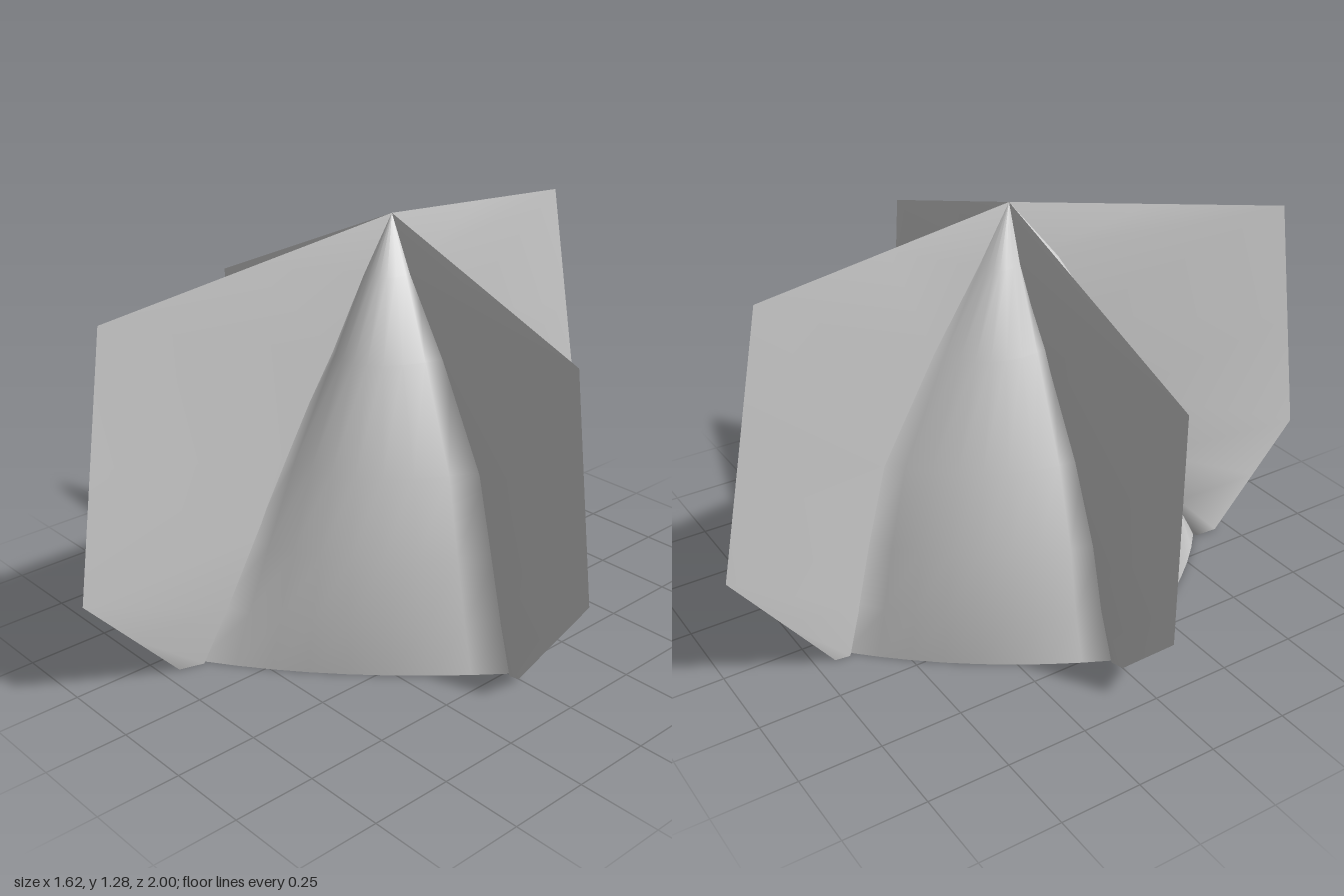
import * as THREE from 'three';

const V = (x, y, z) => new THREE.Vector3(x, y, z);
const APEX = V(-0.04, 1.28, -0.04);
// heights of the body rows, from apex to ground, and how far the panel middles reach outward
const HEIGHTS = [1.28, 1.12, 0.9, 0.6, 0.36, 0.16, 0];
const MIDDLE = [0, 0.27, 0.55, 0.8, 0.93, 1, 1];
// overlap of neighbouring panels along the root of each fin
const OVERLAP = [0, 0.014, 0.014, 0.014, 0.014, 0.013, 0.01];
const COLS = 10;

// each fin: direction, outline (shoulder, widest point, foot) and reach of its root per row
const FINS = [
  { dir: V(1, 0, 0), pts: [V(0.73, 1.03, 0.02), V(0.81, 0.36, 0.02), V(0.55, 0, 0)],
    root: [0, 0.17, 0.42, 0.7, 0.8, 0.88, 0.95] },
  { dir: V(0, 0, 1), pts: [V(-0.17, 1.12, 0.88), V(-0.17, 0.33, 1), V(-0.17, 0, 0.7)],
    root: [0, 0.12, 0.27, 0.5, 0.66, 0.79, 0.9] },
  { dir: V(-1, 0, 0), pts: [V(-0.81, 0.95, 0), V(-0.81, 0.23, 0), V(-0.59, 0, 0)],
    root: [0, 0.1, 0.33, 0.6, 0.76, 0.84, 0.93] },
  { dir: V(0, 0, -1), pts: [V(-0.12, 1.2, -0.85), V(-0.11, 0.4, -1), V(-0.1, 0, -0.69)],
    root: [0, 0.18, 0.42, 0.7, 0.8, 0.87, 0.93] },
];

// outer edge of a fin: corners and the points halfway between them
function finEdge(fin) {
  const corners = [APEX, ...fin.pts];
  const edge = [APEX];
  for (let i = 1; i < corners.length; i++) {
    edge.push(corners[i - 1].clone().lerp(corners[i], 0.5), corners[i]);
  }
  return edge;
}

// point where the body meets a fin, pushed slightly past the fin plane
function finRoot(fin, other, row) {
  const p = APEX.clone().lerp(fin.pts[2], fin.root[row]);
  p.y = HEIGHTS[row];
  return p.addScaledVector(other.dir, -OVERLAP[row]);
}

// one panel: fin side, bulging body, next fin side
function panelGeometry(a, b) {
  const edgeA = finEdge(a), edgeB = finEdge(b);
  const foot = a.pts[2].clone().add(b.pts[2]).multiplyScalar(0.5);
  const pos = [], index = [];
  HEIGHTS.forEach((y, row) => {
    const ra = finRoot(a, b, row), rb = finRoot(b, a, row);
    const mid = APEX.clone().lerp(foot, MIDDLE[row]);
    mid.y = y;
    const control = mid.multiplyScalar(2).addScaledVector(ra, -0.5).addScaledVector(rb, -0.5);
    const body = new THREE.QuadraticBezierCurve3(ra, control, rb).getPoints(COLS - 2);
    for (const p of [edgeA[row], ...body, edgeB[row]]) pos.push(p.x, p.y, p.z);
  });
  const n = COLS + 1;
  for (let i = 0; i < HEIGHTS.length - 1; i++) {
    for (let j = 0; j < COLS; j++) {
      const p = i * n + j;
      if (i > 0) index.push(p, p + 1, p + n + 1);
      index.push(p, p + n + 1, p + n);
    }
  }
  const geo = new THREE.BufferGeometry();
  geo.setAttribute('position', new THREE.Float32BufferAttribute(pos, 3));
  geo.setIndex(index);
  geo.computeVertexNormals();
  return geo;
}

export function createModel() {
  const group = new THREE.Group();
  group.name = 'tent';
  const fabric = new THREE.MeshStandardMaterial({ color: 0xcccccc, side: THREE.DoubleSide });
  fabric.name = 'light grey fabric';
  const names = ['frontLeftPanel', 'frontRightPanel', 'backRightPanel', 'backLeftPanel'];
  names.forEach((name, i) => {
    const mesh = new THREE.Mesh(panelGeometry(FINS[i], FINS[(i + 1) % 4]), fabric);
    mesh.name = name;
    group.add(mesh);
  });
  return group;
}
